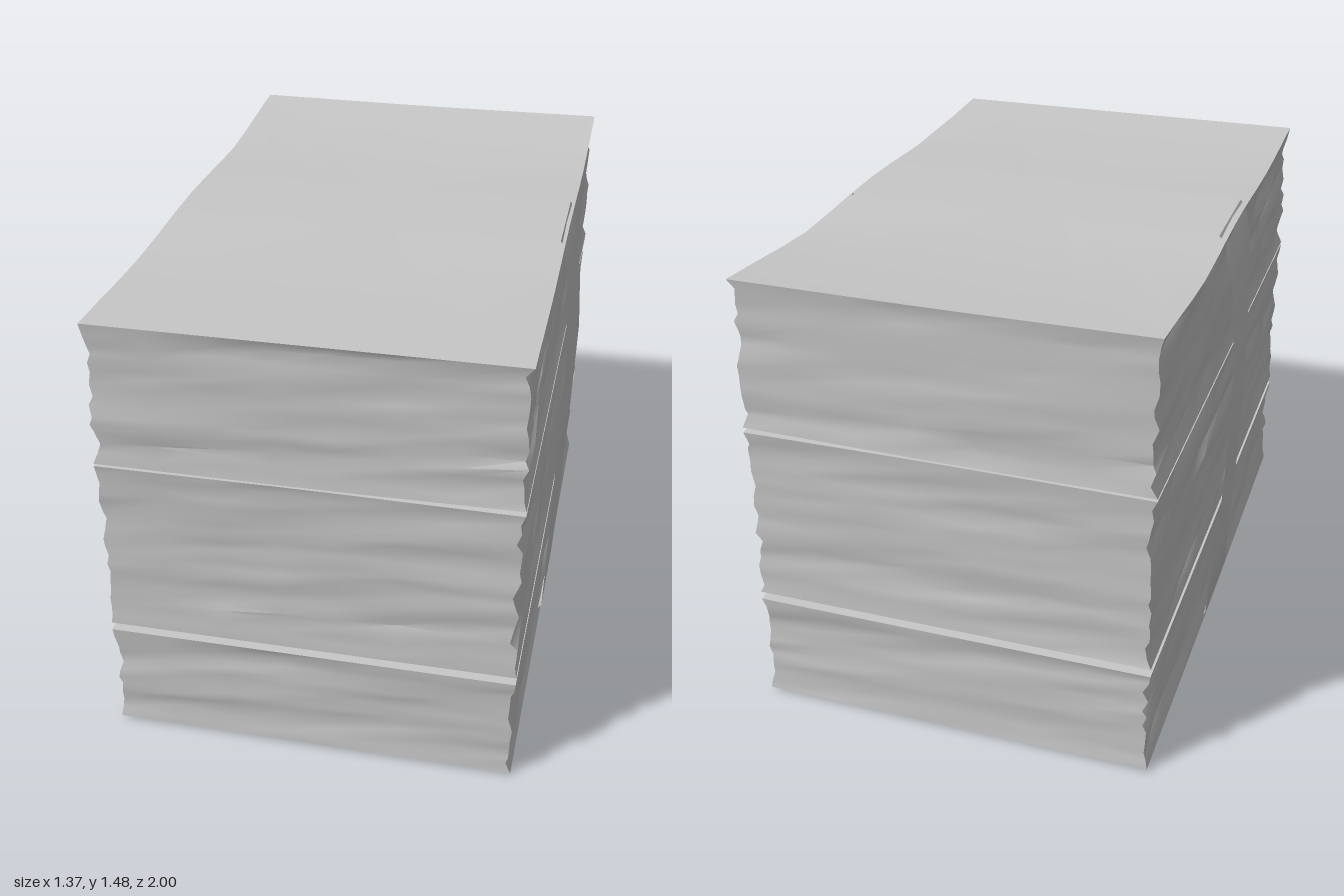
import * as THREE from 'three';
import { toCreasedNormals } from 'three/addons/utils/BufferGeometryUtils.js';

const HALF_X = 0.64, HALF_Z = 1;

// seeded random numbers
function seeded(seed) {
  let s = seed;
  return () => {
    s = (s * 16807) % 2147483647;
    return s / 2147483647;
  };
}

// gentle warp of the bottom and top sheets of the whole pile
const topWarp = (x, z) =>
  1.443 + 0.008 * Math.cos(z * 6) + (z < -0.5 ? 0.05 * (-0.5 - z) : 0) + 0.006 * Math.abs(x) * Math.max(0, -z);
const bottomWarp = (x, z) => 0.002 + 0.011 * Math.abs(z);

// unit outline of a sheet, counter-clockwise seen from above
function outline(nx = 7, nz = 12) {
  const pts = [];
  const side = (n, x0, z0, x1, z1) => {
    for (let i = 0; i < n; i++) {
      const t = i / n;
      pts.push([x0 + (x1 - x0) * t, z0 + (z1 - z0) * t]);
    }
  };
  side(nx, -1, 1, 1, 1);
  side(nz, 1, 1, 1, -1);
  side(nx, 1, -1, -1, -1);
  side(nz, -1, -1, -1, 1);
  return pts;
}

// one bundle: ragged sheet rims stacked as a closed loft
function bundleGeometry(bottom, top, layers, seed) {
  const rand = seeded(seed);
  const rim = outline();
  const n = rim.length;
  const pos = [], idx = [];
  const ring = (scale, t, ragged) => {
    const base = ragged ? rand() * 0.009 : 0;
    for (const [u, v] of rim) {
      const insetX = ragged ? base + rand() * rand() * 0.026 : 0;
      const insetZ = ragged ? base * 0.4 + rand() * rand() * 0.014 : 0;
      const x = u * (HALF_X - insetX) * scale;
      const z = v * (HALF_Z - insetZ) * scale;
      const wobble = ragged ? (rand() - 0.5) * 0.55 / layers : 0;
      pos.push(x, THREE.MathUtils.lerp(bottom(x, z), top(x, z), t + wobble), z);
    }
  };

  // lower face rings, ragged side rings, upper face rings
  const scales = [0.3, 0.65];
  scales.forEach((s) => ring(s, 0, false));
  for (let j = 0; j <= layers; j++) ring(1, j / layers, j > 0 && j < layers);
  [...scales].reverse().forEach((s) => ring(s, 1, false));
  const rings = pos.length / 3 / n;
  for (let r = 0; r < rings - 1; r++) {
    for (let i = 0; i < n; i++) {
      const a = r * n + i, b = r * n + (i + 1) % n;
      idx.push(a, b, b + n, a, b + n, a + n);
    }
  }
  // centres of both faces
  const c = pos.length / 3;
  pos.push(0, bottom(0, 0), 0, 0, top(0, 0), 0);
  const last = (rings - 1) * n;
  for (let i = 0; i < n; i++) {
    const k = (i + 1) % n;
    idx.push(c, k, i, c + 1, last + i, last + k);
  }
  const g = new THREE.BufferGeometry();
  g.setAttribute('position', new THREE.Float32BufferAttribute(pos, 3));
  g.setIndex(idx);
  return toCreasedNormals(g, 0.7);
}

// wrapping band: closed path swept across its width, bulging at the sides
function bandGeometry() {
  const path = [
    [-0.3, 0], [0.3, 0], [0.62, 0.001], [0.645, 0.03], [0.655, 0.2], [0.664, 0.4], [0.675, 0.7],
    [0.684, 1.0], [0.675, 1.18], [0.657, 1.33], [0.64, 1.43], [0.625, 1.456], [0.3, 1.456],
    [-0.3, 1.456], [-0.615, 1.456], [-0.635, 1.43], [-0.664, 1.3], [-0.68, 1.1], [-0.688, 0.9],
    [-0.682, 0.65], [-0.67, 0.4], [-0.655, 0.2], [-0.643, 0.03], [-0.62, 0.001],
  ];
  const zs = [0.16, 0.08, -0.01, -0.1, -0.18];
  const pos = [], idx = [];
  path.forEach(([x, y], i) => {
    zs.forEach((z, k) => {
      // the front edge hugs the pile a little closer
      const slack = Math.max(0, Math.abs(x) - 0.645) * (k === 0 ? 0.45 : k === 1 ? 0.15 : 0);
      pos.push(x - Math.sign(x) * slack, y, z + 0.003 * Math.sin(i * 1.7));
    });
  });
  const w = zs.length, n = path.length;
  for (let i = 0; i < n; i++) {
    for (let k = 0; k < w - 1; k++) {
      const a = i * w + k, b = ((i + 1) % n) * w + k;
      idx.push(a, a + 1, b + 1, a, b + 1, b);
    }
  }
  const g = new THREE.BufferGeometry();
  g.setAttribute('position', new THREE.Float32BufferAttribute(pos, 3));
  g.setIndex(idx);
  return toCreasedNormals(g, 0.7);
}

// loose triangular corner lying on the top sheet
function foldGeometry(corners) {
  const g = new THREE.BufferGeometry();
  const pos = corners.flatMap(([x, z, lift]) => [x, topWarp(x, z) + lift, z]);
  g.setAttribute('position', new THREE.Float32BufferAttribute(pos, 3));
  g.computeVertexNormals();
  return g;
}

export function createModel() {
  const group = new THREE.Group();
  group.name = 'paperPile';
  const paper = new THREE.MeshStandardMaterial({ color: 0xc8c8c8, side: THREE.DoubleSide });
  paper.name = 'paper grey';
  const add = (name, geometry) => {
    const mesh = new THREE.Mesh(geometry, paper);
    mesh.name = name;
    group.add(mesh);
  };

  // three bundles with narrow gaps between them
  const flat = (y) => () => y;
  const middleTop = (x) => 0.984 - 0.006 * Math.abs(x);
  const upperBottom = (x) => 0.989 + 0.012 * Math.max(0, x);
  add('lowerBundle', bundleGeometry(bottomWarp, flat(0.37), 11, 71));
  add('middleBundle', bundleGeometry(flat(0.397), middleTop, 18, 1303));
  add('upperBundle', bundleGeometry(upperBottom, topWarp, 14, 90217));

  // paper band and loose corner
  add('band', bandGeometry());
  add('foldedCorner', foldGeometry([[0.38, 0.8, 0.008], [0.63, 0.99, 0.004], [0.635, 0.4, 0.004]]));
  return group;
}
